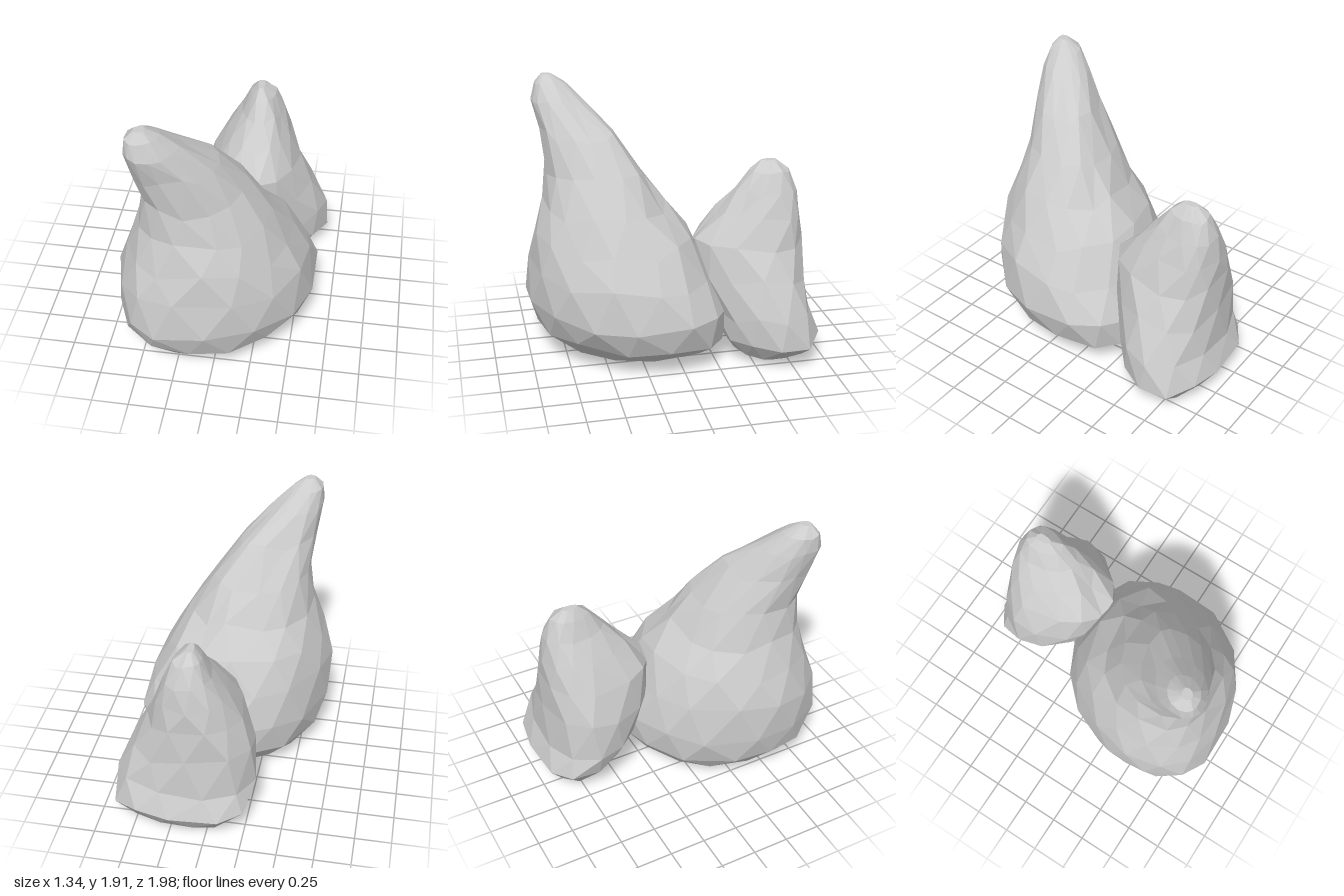
import * as THREE from 'three';

// Small seeded generator for the chipped facets
function seeded(seed) {
  let s = seed;
  return () => ((s = (s * 16807) % 2147483647) / 2147483647);
}

// Rounded outline filling the box x0..x1, z0..z1; skew leans it along the
// diagonal, taper narrows its front and widens its back
function outlinePoint([, x0, x1, z0, z1, skew], t, taper) {
  const soft = (v) => Math.sign(v) * Math.abs(v) ** 0.9;
  const depth = soft(Math.sin(t + skew));
  return [
    (x0 + x1) / 2 + ((x1 - x0) / 2) * soft(Math.cos(t)) * (1 - taper * depth),
    (z0 + z1) / 2 + ((z1 - z0) / 2) * depth,
  ];
}

// Rock from stacked outlines [y, x0, x1, z0, z1, skew], closed at both ends
function makeRock(name, levels, sides, taper, seed) {
  const rand = seeded(seed);
  const pos = [];
  const index = [];
  const last = levels.length - 1;
  levels.forEach((level, i) => {
    const [y, x0, x1, z0, z1] = level;
    const cx = (x0 + x1) / 2;
    const cz = (z0 + z1) / 2;
    const inner = i > 0 && i < last;
    for (let j = 0; j < sides; j++) {
      const t = ((j + (i % 2) * 0.5 + (rand() - 0.5) * 0.3) / sides) * Math.PI * 2;
      const [x, z] = outlinePoint(level, t, taper);
      const k = 1.02 - rand() * 0.03;
      const gap = inner ? Math.min(y - levels[i - 1][0], levels[i + 1][0] - y) : 0;
      pos.push(cx + (x - cx) * k, y + (rand() - 0.5) * gap * 0.4, cz + (z - cz) * k);
    }
  });
  for (let i = 0; i < last; i++) {
    for (let j = 0; j < sides; j++) {
      const n = (j + 1) % sides;
      const a = i * sides + j, b = i * sides + n;
      const c = a + sides, d = b + sides;
      // diagonal follows the half-step stagger between rows
      if (i % 2) index.push(a, c, d, a, d, b);
      else index.push(a, c, b, b, c, d);
    }
  }
  // End caps
  for (const [i, up] of [[0, false], [last, true]]) {
    const [y, x0, x1, z0, z1] = levels[i];
    const centre = pos.length / 3;
    pos.push((x0 + x1) / 2, y, (z0 + z1) / 2);
    for (let j = 0; j < sides; j++) {
      const a = i * sides + j, b = i * sides + ((j + 1) % sides);
      index.push(...(up ? [centre, b, a] : [centre, a, b]));
    }
  }
  const geometry = new THREE.BufferGeometry();
  geometry.setAttribute('position', new THREE.Float32BufferAttribute(pos, 3));
  geometry.setIndex(index);
  geometry.computeVertexNormals();
  const mesh = new THREE.Mesh(
    geometry,
    new THREE.MeshStandardMaterial({ color: 0xcccccc, flatShading: true })
  );
  mesh.name = name;
  return mesh;
}

export function createModel() {
  const group = new THREE.Group();
  group.name = 'rockPair';

  // Tall rock leaning to the front, with a diagonal ridge
  const tall = [
    [0.0, -0.36, 0.24, -0.06, 0.64, -0.35],
    [0.07, -0.54, 0.41, -0.22, 0.8, -0.35],
    [0.2, -0.64, 0.59, -0.33, 0.93, -0.3],
    [0.4, -0.68, 0.64, -0.34, 1.0, -0.27],
    [0.64, -0.67, 0.59, -0.24, 0.97, -0.22],
    [0.86, -0.61, 0.47, -0.12, 0.92, -0.16],
    [1.08, -0.53, 0.33, 0.04, 0.86, -0.13],
    [1.3, -0.49, 0.17, 0.17, 0.83, -0.2],
    [1.54, -0.51, 0.01, 0.36, 0.85, -0.3],
    [1.74, -0.54, -0.2, 0.52, 0.89, -0.3],
    [1.85, -0.53, -0.32, 0.64, 0.86, -0.2],
    [1.91, -0.47, -0.4, 0.74, 0.81, -0.2],
  ];

  // Short rock behind: upright back, narrow front sloping to the tall one
  const short = [
    [0.01, 0.05, 0.46, -0.8, -0.5, 0.15],
    [0.06, -0.12, 0.56, -0.92, -0.4, 0.15],
    [0.18, -0.26, 0.66, -1.0, -0.31, 0.08],
    [0.36, -0.3, 0.63, -0.93, -0.25, -0.02],
    [0.6, -0.28, 0.52, -0.91, -0.16, 0],
    [0.83, -0.2, 0.42, -0.9, -0.13, 0],
    [1.02, -0.1, 0.35, -0.89, -0.29, 0],
    [1.18, -0.01, 0.29, -0.86, -0.43, 0],
    [1.3, 0.05, 0.23, -0.8, -0.53, 0],
    [1.37, 0.1, 0.15, -0.72, -0.61, 0],
  ];

  group.add(makeRock('tallRock', tall, 14, 0, 17), makeRock('shortRock', short, 12, 0.2, 91));
  return group;
}
